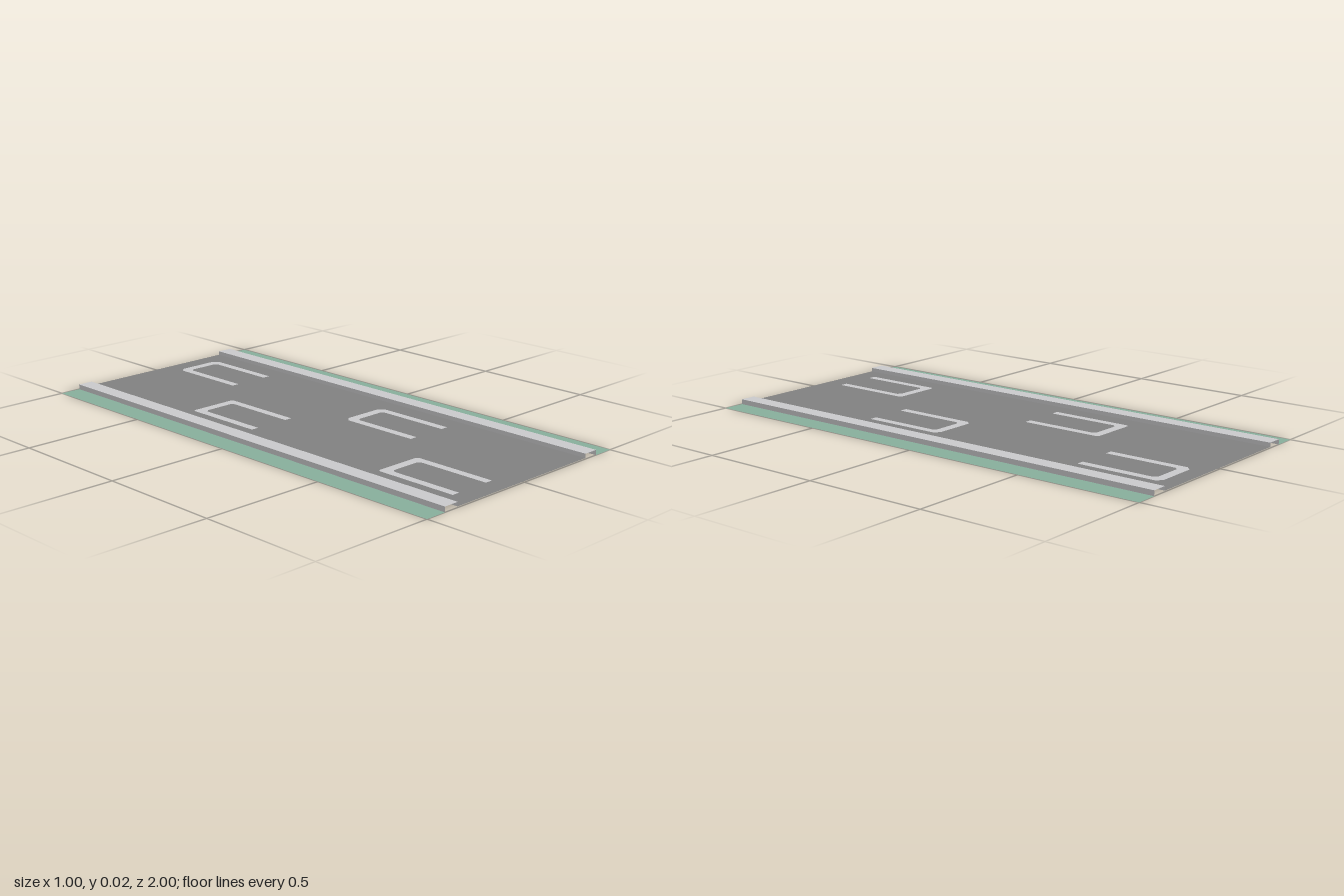
import * as THREE from 'three';

const ROAD_Y = 0.004, KERB_Y = 0.02;
const ROAD_X = 0.35, KERB_X = 0.413, EDGE_X = 0.5;

export function createModel() {
  const mat = (name, color) =>
    new THREE.MeshStandardMaterial({ name, color, side: THREE.DoubleSide });
  const asphalt = mat('asphalt', 0x808080);
  const paleGrey = mat('paleGrey', 0xc8c8ca);
  const grass = mat('grass', 0x86ae9b);

  const group = new THREE.Group();
  const add = (name, geometry, material) => {
    const mesh = new THREE.Mesh(geometry, material);
    mesh.name = name;
    group.add(mesh);
    return mesh;
  };

  // Outline of a parking bay: a bar at the back, two legs towards the front
  const bayPoints = (x, z, r) => {
    const w = 0.205, len = 0.345, leg = 0.032, bar = 0.037, q = 0.012;
    return [
      [0, len], [0, r], [r, 0], [w - r, 0], [w, r], [w, len],
      [w - leg, len], [w - leg, bar + q], [w - leg - q, bar],
      [leg + q, bar], [leg, bar + q], [leg, len],
    ].map(([px, pz]) => new THREE.Vector2(x + px, -(z + pz)));
  };
  const bays = [
    bayPoints(0.066, -0.93, 0.02), bayPoints(-0.279, -0.428, 0.008),
    bayPoints(0.066, 0.07, 0.02), bayPoints(-0.279, 0.573, 0.008),
  ];
  const flat = (shape) =>
    new THREE.ShapeGeometry(shape).rotateX(-Math.PI / 2).translate(0, ROAD_Y, 0);

  // Road sheet with the painted bays set flush into it
  const road = new THREE.Shape([
    new THREE.Vector2(-ROAD_X, -1), new THREE.Vector2(ROAD_X, -1),
    new THREE.Vector2(ROAD_X, 1), new THREE.Vector2(-ROAD_X, 1),
  ]);
  bays.forEach((points) => {
    road.holes.push(new THREE.Path(points));
    add('bayMarking', flat(new THREE.Shape(points)), paleGrey);
  });
  add('road', flat(road), asphalt);

  // Hollow kerbs and grass verges, mirrored on both sides
  for (const side of [-1, 1]) {
    const label = side > 0 ? 'left' : 'right';
    const strip = (width, x, y) =>
      new THREE.PlaneGeometry(width, 2).rotateX(-Math.PI / 2).translate(side * x, y, 0);
    const wall = (x, y0, y1, facing) =>
      new THREE.PlaneGeometry(2, y1 - y0).rotateY(facing * Math.PI / 2)
        .translate(side * x, (y0 + y1) / 2, 0);
    add(label + 'KerbTop', strip(KERB_X - ROAD_X, (KERB_X + ROAD_X) / 2, KERB_Y), paleGrey);
    add(label + 'KerbOuterWall', wall(KERB_X, 0, KERB_Y, side), paleGrey);
    add(label + 'KerbInnerWall', wall(ROAD_X, ROAD_Y, KERB_Y, -side), paleGrey);
    add(label + 'Verge', strip(EDGE_X - KERB_X, (EDGE_X + KERB_X) / 2, 0), grass);
  }
  return group;
}
